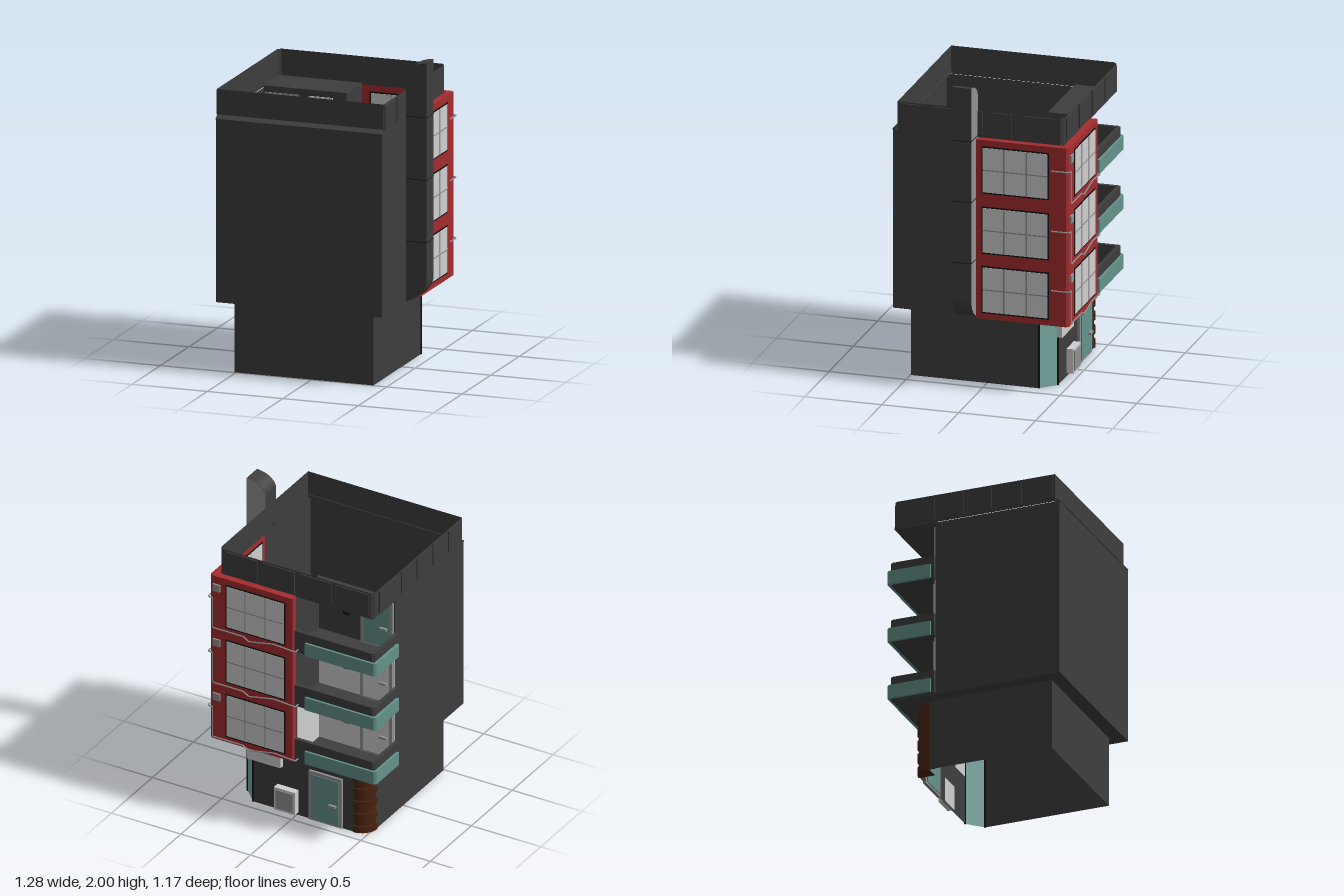
import * as THREE from 'three';

const paint = (name, color, side = THREE.FrontSide) => {
  const m = new THREE.MeshStandardMaterial({ side });
  m.color.set(color);
  m.name = name;
  return m;
};

export function createModel() {
  const root = new THREE.Group();
  root.name = 'building';
  const dark = paint('dark wall', 0x3e3e3e, THREE.DoubleSide);
  const red = paint('red cladding', 0xa62c2e);
  const light = paint('light panel', 0xd0d0d0);
  const grey = paint('grey metal', 0x929292);
  const teal = paint('teal', 0x64938a);
  const mint = paint('mint glass', 0x78aea4, THREE.DoubleSide);
  const black = paint('black trim', 0x101010);
  const brown = paint('brown cladding', 0x4a2410, THREE.DoubleSide);

  const add = (name, geo, mat, parent = root) => {
    const m = new THREE.Mesh(geo, mat);
    m.name = name;
    parent.add(m);
    return m;
  };
  // Box given by its lower and upper limits
  const box = (name, mat, [x0, x1], [y0, y1], [z0, z1], parent = root) => {
    const m = add(name, new THREE.BoxGeometry(x1 - x0, y1 - y0, z1 - z0), mat, parent);
    m.position.set((x0 + x1) / 2, (y0 + y1) / 2, (z0 + z1) / 2);
    return m;
  };
  // Open vertical sheet that follows a plan line of [x, z] points
  const fence = (name, mat, pts, y0, y1, parent = root) => {
    const v = [];
    for (let i = 0; i < pts.length - 1; i++) {
      const [a, b] = pts[i], [c, d] = pts[i + 1];
      v.push(a, y0, b, a, y1, b, c, y1, d, a, y0, b, c, y1, d, c, y0, d);
    }
    const g = new THREE.BufferGeometry();
    g.setAttribute('position', new THREE.Float32BufferAttribute(v, 3));
    g.computeVertexNormals();
    return add(name, g, mat, parent);
  };
  // Flat slab from a plan outline, with an optional hole
  const outline = (pts) => pts.map(([x, z]) => new THREE.Vector2(x, z));
  const slab = (name, mat, pts, y0, y1, parent = root, hole) => {
    const s = new THREE.Shape(outline(pts));
    if (hole) s.holes.push(new THREE.Path(outline(hole)));
    const g = new THREE.ExtrudeGeometry(s, { depth: y1 - y0, bevelEnabled: false });
    g.rotateX(Math.PI / 2).translate(0, y1, 0);
    return add(name, g, mat, parent);
  };
  // L-shaped plan with a clipped outer corner at (x, z)
  const ell = (x, z, xEnd, zEnd, t, c = 0.015) => {
    const s = Math.sign(xEnd - x);
    return [[xEnd, z], [x + s * c, z], [x, z + c], [x, zEnd], [x + s * t, zEnd], [x + s * t, z + t], [xEnd, z + t]];
  };

  // Ground floor shell, open above and below
  const arc = [];
  for (let i = 0; i <= 6; i++) {
    const a = (i / 6) * Math.PI / 2;
    arc.push([-0.41 - 0.1 * Math.cos(a), -0.33 - 0.1 * Math.sin(a)]);
  }
  const side = [[0.41, -0.335], [0.41, 0.495], [-0.51, 0.495], [-0.51, -0.33]];
  const back = [[-0.41, -0.43], [0.315, -0.43]];
  fence('baseWalls', dark, side, 0, 0.465);
  fence('baseBackWall', dark, back, 0, 0.465);
  fence('cornerCladding', brown, arc, 0, 0.465);
  for (let i = 0; i < 5; i++) {
    const ring = new THREE.CylinderGeometry(0.11, 0.11, 0.045, 8, 1, false, Math.PI, Math.PI / 2);
    add('claddingRib', ring, brown).position.set(-0.41, 0.025 + i * 0.09, -0.33);
  }
  fence('cornerGlass', mint, [[0.315, -0.43], [0.41, -0.335]], 0, 0.465);
  for (const [x, z] of [[0.315, -0.43], [0.41, -0.335]]) {
    box('glassEdge', black, [x - 0.005, x + 0.005], [0, 0.465], [z - 0.005, z + 0.005]);
  }

  // Overhang and upper shell
  slab('overhang', dark, [[-0.6, -0.52], [0.5, -0.52], [0.5, 0.585], [-0.6, 0.585]], 0.463, 0.472, root,
    [...side, ...arc.slice(1), ...back.slice(1)]);
  fence('upperWalls', dark, [[0.5, 0.03], [0.5, 0.585], [-0.6, 0.585], [-0.6, -0.25]], 0.467, 1.635);
  fence('recessWalls', dark, [[-0.6, -0.25], [-0.05, -0.25], [-0.05, -0.52]], 0.467, 1.645);
  box('recessCeiling', dark, [-0.6, -0.05], [1.635, 1.65], [-0.525, -0.25]);
  const lip = box('frontLip', dark, [-0.602, 0.5], [-0.003, 0.003], [-0.02, 0.02]);
  lip.position.set(-0.051, 1.645, 0.57);
  lip.rotation.x = 0.55;

  // Parapet with raised panels
  fence('parapet', dark, [[0.5, 0.555], [-0.605, 0.555], [-0.605, -0.505], [-0.585, -0.525],
    [0.48, -0.525], [0.5, -0.505], [0.5, 0.555]], 1.635, 1.82);
  for (const [z0, z1] of [[0.385, 0.54], [0.195, 0.33], [0, 0.13], [-0.19, -0.06], [-0.46, -0.25]]) {
    box('parapetPanelRight', dark, [0.5, 0.508], [1.655, 1.81], [z0, z1]);
    box('parapetPanelLeft', dark, [-0.613, -0.605], [1.655, 1.81], [z0, z1]);
  }
  for (let i = 0; i < 4; i++) {
    box('parapetPanelBack', dark, [-0.57 + i * 0.265, -0.34 + i * 0.265], [1.655, 1.81], [-0.533, -0.525]);
  }

  // Red corner bay
  slab('redBay', red, ell(0.545, -0.57, -0.05, 0.03, 0.045), 0.467, 1.64);
  const makeWindow = (w, h) => {
    const g = new THREE.Group();
    g.name = 'window';
    const centred = (name, mat, sx, sy, sz, x = 0, y = 0) =>
      box(name, mat, [x - sx / 2, x + sx / 2], [y - sy / 2, y + sy / 2], [-sz / 2, sz / 2], g);
    centred('windowFrame', black, w, h, 0.052);
    centred('windowPane', light, w - 0.018, h - 0.018, 0.056);
    for (const k of [-1, 1]) centred('windowBar', grey, 0.008, h - 0.018, 0.06, k * w / 6);
    centred('windowBar', grey, w - 0.018, 0.008, 0.06);
    root.add(g);
    return g;
  };
  // Windows, cable and junction box on each floor
  for (const y of [0.66, 1.05, 1.445]) {
    makeWindow(0.43, 0.31).position.set(0.215, y, -0.5475);
    const w = makeWindow(0.44, 0.31);
    w.position.set(0.5225, y, -0.225);
    w.rotation.y = Math.PI / 2;
    const path = new THREE.CurvePath();
    const pts = [[0.553, 0.04, -0.46], [0.553, 0.04, -0.58], [0.52, 0.04, -0.58], [0.52, -0.175, -0.58],
      [0.3, -0.175, -0.58], [0.26, -0.2, -0.58], [0.08, -0.165, -0.58], [-0.075, -0.175, -0.58], [-0.075, -0.175, -0.53]]
      .map(([a, b, c]) => new THREE.Vector3(a, y + b, c));
    for (let i = 1; i < pts.length; i++) path.add(new THREE.LineCurve3(pts[i - 1], pts[i]));
    add('cable', new THREE.TubeGeometry(path, 90, 0.005, 6), grey);
    box('junctionBox', grey, [0.47, 0.52], [y + 0.09, y + 0.14], [-0.582, -0.57]);
  }

  // Door facing the back, seen from both sides of its wall
  const makeDoor = (x0, x1, y0, y1, z, panel) => {
    const g = new THREE.Group();
    g.name = 'door';
    box('doorFrame', grey, [x0, x1], [y0, y1], [z - 0.014, z + 0.006], g);
    box('doorPanel', panel, [x0 + 0.022, x1 - 0.022], [y0 + 0.015, y1 - 0.022], [z - 0.018, z + 0.01], g);
    box('doorHandle', grey, [x0 + 0.035, x0 + 0.085], [y0 + 0.14, y0 + 0.155], [z - 0.035, z - 0.018], g);
    root.add(g);
  };

  // Corner balconies
  [0.47, 0.86, 1.25].forEach((y, i) => {
    const g = new THREE.Group();
    g.name = 'balcony';
    root.add(g);
    box('balconyFloor', dark, [-0.6, -0.05], [y, y + 0.02], [-0.53, -0.25], g);
    slab('balconyWall', dark, ell(-0.622, -0.545, -0.05, -0.25, 0.025), y, y + 0.15, g);
    slab('balconyBand', teal, ell(-0.64, -0.56, -0.13, -0.27, 0.018), y, y + 0.09, g);
    if (i < 2) {
      box('innerWall', light, [-0.598, -0.055], [y + 0.02, y + 0.385], [-0.256, -0.251], g);
      makeDoor(-0.59, -0.36, y + 0.02, y + 0.36, -0.256, light);
    } else {
      makeDoor(-0.59, -0.36, y + 0.02, y + 0.36, -0.25, teal);
      box('wallSign', light, [-0.3, -0.14], [1.52, 1.61], [-0.256, -0.244], g);
    }
    if (i === 0) box('innerSideWall', light, [-0.056, -0.051], [y + 0.02, y + 0.385], [-0.52, -0.26], g);
    box('wallLamp', black, [-0.28, -0.24], [y + 0.19, y + 0.28], [-0.275, -0.25], g);
  });

  // Street door, meter box and sign on the back
  makeDoor(-0.33, -0.09, 0.005, 0.355, -0.432, teal);
  box('meterBox', light, [-0.01, 0.14], [0.02, 0.18], [-0.475, -0.43]);
  box('meterLid', grey, [0.005, 0.125], [0.035, 0.165], [-0.48, -0.475]);
  box('streetSign', light, [0.1, 0.34], [0.32, 0.43], [-0.465, -0.43]);

  // Duct with curved ends and a lighter back face
  const s = new THREE.Shape();
  s.moveTo(0.5, 0.467);
  s.quadraticCurveTo(0.615, 0.5, 0.635, 0.6);
  s.lineTo(0.635, 2);
  s.quadraticCurveTo(0.52, 1.99, 0.5, 1.92);
  s.closePath();
  const duct = new THREE.ExtrudeGeometry(s, { depth: 0.125, bevelEnabled: false, curveSegments: 8 });
  add('duct', duct, dark).position.z = 0.035;
  const face = new THREE.ShapeGeometry(s, 8);
  face.rotateY(Math.PI).scale(-1, 1, 1);
  const index = face.index.array;
  for (let i = 0; i < index.length; i += 3) [index[i], index[i + 1]] = [index[i + 1], index[i]];
  add('ductBackFace', face, grey).position.z = 0.033;
  for (const y of [0.85, 1.25, 1.65]) box('ductSeam', black, [0.5, 0.636], [y, y + 0.004], [0.032, 0.161]);

  return root;
}
